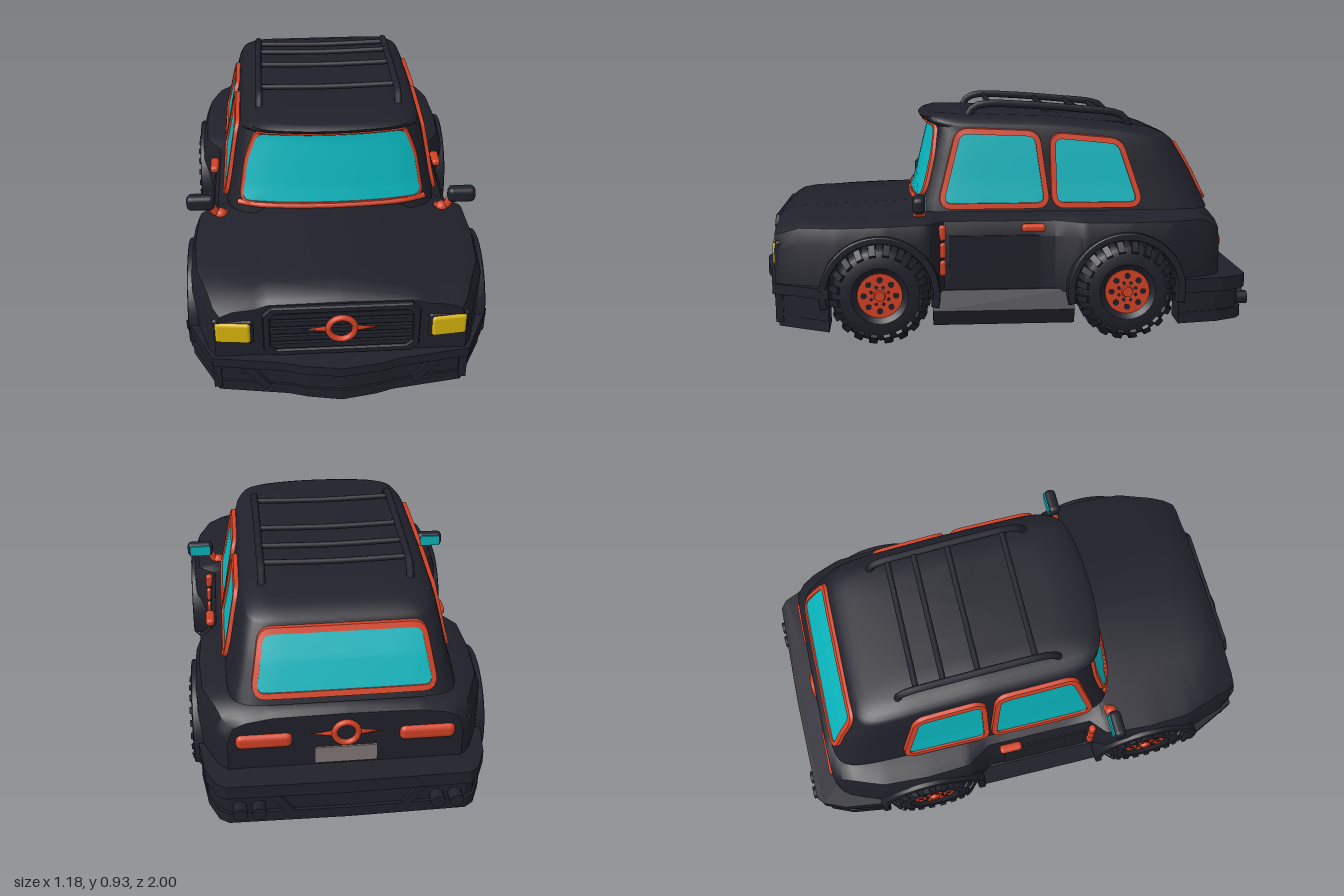
import * as THREE from 'three';
import { toCreasedNormals } from 'three/addons/utils/BufferGeometryUtils.js';
import { RoundedBoxGeometry } from 'three/addons/geometries/RoundedBoxGeometry.js';

const material = (name, color, side = THREE.FrontSide) => {
  const m = new THREE.MeshStandardMaterial({ color, side });
  m.name = name;
  return m;
};

// Piecewise linear lookup; keys are ascending [position, value] pairs
function curve(keys, p) {
  if (p <= keys[0][0]) return keys[0][1];
  for (let i = 1; i < keys.length; i++) {
    const [a, va] = keys[i - 1], [b, vb] = keys[i];
    if (p <= b) return va + (vb - va) * (p - a) / (b - a);
  }
  return keys[keys.length - 1][1];
}

// Closed skin over equal-length rings, capped with fans and oriented outwards
function loft(rings, crease = 0.6) {
  const n = rings[0].length, pts = rings.flat(), idx = [];
  for (let i = 0; i < rings.length - 1; i++) for (let j = 0; j < n; j++) {
    const a = i * n + j, b = i * n + (j + 1) % n;
    idx.push(a, b, b + n, a, b + n, a + n);
  }
  [0, rings.length - 1].forEach((r, end) => {
    const c = new THREE.Vector3();
    rings[r].forEach(p => c.addScaledVector(p, 1 / n));
    pts.push(c);
    for (let j = 0; j < n; j++) {
      const a = r * n + j, b = r * n + (j + 1) % n;
      idx.push(pts.length - 1, ...(end ? [a, b] : [b, a]));
    }
  });
  let volume = 0;
  for (let i = 0; i < idx.length; i += 3)
    volume += pts[idx[i]].dot(new THREE.Vector3().crossVectors(pts[idx[i + 1]], pts[idx[i + 2]]));
  if (volume < 0) idx.reverse();
  const g = new THREE.BufferGeometry().setFromPoints(pts);
  g.setIndex(idx);
  return toCreasedNormals(g, crease);
}

// Polygon with rounded corners, as a contour of points
function rounded(poly, r = 0.03) {
  const out = [], v = poly.map(p => new THREE.Vector2(...p));
  v.forEach((p, i) => {
    const a = v[(i + v.length - 1) % v.length], b = v[(i + 1) % v.length];
    const p0 = p.clone().add(a.clone().sub(p).setLength(r)), p1 = p.clone().add(b.clone().sub(p).setLength(r));
    out.push(...new THREE.QuadraticBezierCurve(p0, p, p1).getPoints(4));
    for (let k = 1; k < 6; k++) out.push(p1.clone().lerp(b.clone().add(p.clone().sub(b).setLength(r)), k / 6));
  });
  return out;
}

function grow(contour, d) {
  const n = contour.length, area = THREE.ShapeUtils.area(contour);
  return contour.map((p, i) => {
    const t = contour[(i + 1) % n].clone().sub(contour[(i + n - 1) % n]).normalize();
    return p.clone().add(new THREE.Vector2(t.y, -t.x).multiplyScalar(d * Math.sign(area)));
  });
}

// Bands between successive contours [points, lift], wrapped onto a surface
function wrap(bands, map) {
  const n = bands[0][0].length, pts = [], idx = [];
  bands.forEach(([contour, lift]) => contour.forEach(p => pts.push(map(p, lift))));
  for (let k = 0; k < bands.length - 1; k++) for (let j = 0; j < n; j++) {
    const a = k * n + j, b = k * n + (j + 1) % n;
    idx.push(a, b, b + n, a, b + n, a + n);
  }
  const g = new THREE.BufferGeometry().setFromPoints(pts);
  g.setIndex(idx);
  return toCreasedNormals(g, 0.6);
}

// Cabin shape: roof height along z, then width and end positions by relative height
const roof = z => curve([[-0.7, 0.8], [-0.5, 0.835], [-0.2, 0.866], [0.25, 0.88]], z);
const cabW = t => curve([[0, 0.434], [0.1, 0.427], [0.3, 0.41], [0.6, 0.389], [0.8, 0.374], [0.9, 0.36], [0.96, 0.333], [1, 0.282]], t);
const cabF = t => curve([[0, 0.375], [0.1, 0.368], [0.3, 0.344], [0.6, 0.316], [0.8, 0.297], [0.87, 0.293], [0.92, 0.328], [0.97, 0.34], [1, 0.31]], t);
const cabR = t => curve([[0, -0.843], [0.5, -0.772], [0.9, -0.702], [0.96, -0.675], [1, -0.61]], t);
const N = 10, BOW = 0.04;
const fall = q => Math.pow(Math.max(0, 1 - Math.pow(Math.abs(q), N)), 1 / N);
const rel = (y, z) => (y - 0.5) / (roof(z) - 0.5);

function onSide(z, y, side, lift) {
  const t = rel(y, z), mid = (cabF(t) + cabR(t)) / 2, d = (cabF(t) - cabR(t)) / 2;
  return new THREE.Vector3(side * (cabW(t) * fall((z - mid) / d) + lift), y, z);
}
function onEnd(x, y, dir, lift) {
  let z = dir > 0 ? 0.3 : -0.75;
  for (let i = 0; i < 4; i++) {
    const t = rel(y, z), mid = (cabF(t) + cabR(t)) / 2, d = (cabF(t) - cabR(t)) / 2, q = x / cabW(t);
    z = mid + dir * d * fall(q) - (dir > 0 ? BOW * q * q * fall(q) ** 3 : 0);
  }
  return new THREE.Vector3(x, y, z + dir * lift);
}

export function createModel() {
  const car = new THREE.Group();
  const paint = material('dark body', 0x20202a);
  const red = material('red trim', 0xd24125, THREE.DoubleSide);
  const glass = material('teal glass', 0x09b4bc, THREE.DoubleSide);
  const yellow = material('yellow lamp', 0xd8b40c);
  const grey = material('grey plate', 0x827875);

  const add = (name, geo, mat, x = 0, y = 0, z = 0, parent = car) => {
    const m = new THREE.Mesh(geo, mat);
    m.name = name;
    m.position.set(x, y, z);
    parent.add(m);
    return m;
  };
  const box = (name, mat, w, h, d, x, y, z) => add(name, new THREE.BoxGeometry(w, h, d), mat, x, y, z);
  const soft = (name, mat, w, h, d, x, y, z) =>
    add(name, new RoundedBoxGeometry(w, h, d, 3, Math.min(w, h, d) * 0.42), mat, x, y, z);
  const tube = (name, pts, r, mat) => add(name, new THREE.TubeGeometry(
    new THREE.CatmullRomCurve3(pts.map(p => new THREE.Vector3(...p))), 24, r, 8), mat);

  // Lower body with wheel arches
  const axles = [0.49, -0.475], archR = 0.21;
  const stations = [0.9, 0.888, 0.86, 0.8, 0.72, 0.27, 0.24, 0.1, 0, -0.1, -0.2, -0.24, -0.72, -0.78, -0.83, -0.855, -0.87];
  axles.forEach(c => { for (let k = 0; k <= 16; k++) stations.push(c + archR * Math.cos(k * Math.PI / 16)); });
  stations.sort((a, b) => a - b);
  const bodyW = [[-0.87, 0.44], [-0.84, 0.475], [-0.75, 0.515], [-0.66, 0.548], [-0.475, 0.56], [-0.3, 0.552], [-0.2, 0.49],
    [0.24, 0.49], [0.3, 0.56], [0.49, 0.572], [0.66, 0.562], [0.75, 0.53], [0.86, 0.495], [0.9, 0.47]];
  const crown = [[-0.87, 0.465], [-0.84, 0.495], [-0.7, 0.51], [0.35, 0.53], [0.8, 0.512], [0.87, 0.5], [0.9, 0.475]];
  const shoulder = [[-0.87, 0.445], [-0.8, 0.49], [0.3, 0.492], [0.8, 0.478], [0.9, 0.445]];
  add('lowerBody', loft(stations.map(z => {
    const w = curve(bodyW, z), top = curve(crown, z), sh = curve(shoulder, z);
    let b = 0.19;
    axles.forEach(c => {
      const q = archR * archR - (z - c) ** 2;
      if (q > 0) b = Math.max(b, 0.2 + Math.sqrt(q));
    });
    const half = [[0.27, top - 0.004], [0.32, sh + 0.008], [w - 0.07, sh], [w - 0.022, sh - 0.022],
      [w, Math.max(sh - 0.08, b + 0.002)], [w, b], [0.38, b], [0.38, 0.14]];
    const ring = [[0, top], ...half, [0, 0.14], ...half.map(([x, y]) => [-x, y]).reverse()];
    return ring.map(([x, y]) => new THREE.Vector3(x, y, z));
  })), paint);

  // Cabin and roof
  const cabinRing = (t, s = 1) => {
    const f = cabF(t), r = cabR(t), ring = [];
    for (let k = 0; k < 96; k++) {
      const e = Math.floor(k / 24), q = (k % 24) / 12 - 1;
      const [a, b] = [[1, q], [-q, 1], [-1, -q], [q, -1]][e];
      const l = Math.pow(a ** N + b ** N, 1 / N);
      const bow = BOW * (a / l) ** 2 * Math.max(0, b / l) ** 3;
      const z = (f + r) / 2 + s * ((f - r) / 2 * b / l - bow);
      ring.push(new THREE.Vector3(s * cabW(t) * a / l, 0.5 + (roof(z) - 0.5) * t + (1 - s) * 0.004, z));
    }
    return ring;
  };
  add('cabin', loft([...[0, 0.1, 0.3, 0.5, 0.6, 0.8, 0.87, 0.9, 0.92, 0.96, 0.98, 1].map(t => cabinRing(t)),
    cabinRing(1, 0.7), cabinRing(1, 0.35), cabinRing(1, 0.05)], 0.7), paint);

  // Windows with raised red surrounds
  const pane = (name, poly, trim, rise, map) => {
    const edge = rounded(poly), centre = new THREE.Vector2(), fill = [];
    edge.forEach(p => centre.addScaledVector(p, 1 / edge.length));
    for (let k = 0; k <= 8; k++) fill.push([edge.map(p => centre.clone().lerp(p, k / 8)), 0.007]);
    add(name + 'Glass', wrap(fill, map), glass);
    add(name + 'Frame', wrap([[edge, 0.004], [edge, rise], [grow(edge, trim), rise], [grow(edge, trim + 0.002), 0]], map), red);
  };
  pane('windshield', [[-0.362, 0.556], [0.362, 0.556], [0.335, 0.72], [0.292, 0.828], [-0.292, 0.828], [-0.335, 0.72]], 0.012, 0.012, (p, l) => onEnd(p.x, p.y, 1, l));
  pane('rearWindow', [[-0.325, 0.545], [0.325, 0.545], [0.29, 0.735], [-0.29, 0.735]], 0.02, 0.012, (p, l) => onEnd(p.x, p.y, -1, l));
  tube('windshieldSill', [-1, -0.75, -0.5, -0.25, 0, 0.25, 0.5, 0.75, 1].map(k => onEnd(k * 0.38, 0.541, 1, 0.004).toArray()), 0.012, red);
  for (const s of [1, -1]) {
    pane('frontSideWindow', [[0.238, 0.535], [0.168, 0.805], [-0.125, 0.793], [-0.16, 0.535]], 0.022, 0.016, (p, l) => onSide(p.x, p.y, s, l));
    pane('rearSideWindow', [[-0.212, 0.535], [-0.208, 0.785], [-0.46, 0.76], [-0.533, 0.535]], 0.022, 0.016, (p, l) => onSide(p.x, p.y, s, l));

    // Door furniture
    soft('doorHandle', red, 0.036, 0.032, 0.094, s * 0.494, 0.445, -0.112);
    [0.43, 0.36, 0.29].forEach(y => soft('sideVent', red, 0.03, 0.062, 0.028, s * 0.497, y, 0.246));
    box('doorPanel', paint, 0.008, 0.21, 0.36, s * 0.49, 0.31, 0.04);

    // Mirrors
    tube('mirrorArm', [[s * 0.43, 0.485, 0.32], [s * 0.47, 0.5, 0.335], [s * 0.495, 0.55, 0.335]], 0.017, red);
    add('mirrorBase', new THREE.SphereGeometry(0.026, 14, 10), red, s * 0.452, 0.49, 0.335);
    soft('mirrorShell', paint, 0.115, 0.066, 0.05, s * 0.531, 0.551, 0.335);
    box('mirrorGlass', glass, 0.09, 0.046, 0.006, s * 0.531, 0.551, 0.309);

    // Side step
    const step = [[0.36, 0.2], [0.5, 0.2], [0.555, 0.13], [0.535, 0.07], [0.36, 0.07]];
    add('sideStep', loft([-0.27, 0.285].map(z => step.map(([x, y]) => new THREE.Vector3(s * x, y, z))), 0.2), paint);

    // Roof rails
    tube('roofRail', [[0.87, 0.135], [0.9, 0.115], [0.915, 0.07], [0.911, -0.1], [0.895, -0.3], [0.878, -0.46], [0.858, -0.505], [0.82, -0.52]]
      .map(([y, z]) => [s * 0.283, y, z]), 0.015, paint);

    // Lamps
    soft('headlampBezel', paint, 0.155, 0.108, 0.03, s * 0.402, 0.35, 0.888).rotation.y = s * 0.1;
    soft('headlamp', yellow, 0.132, 0.09, 0.03, s * 0.402, 0.35, 0.898).rotation.y = s * 0.1;
    soft('tailLamp', red, 0.21, 0.062, 0.054, s * 0.305, 0.362, -0.86);

    // Exhaust tips
    [0.335, 0.405].forEach(x => add('exhaustTip', new THREE.CylinderGeometry(0.027, 0.027, 0.12, 14), paint, s * x, 0.125, -0.94).rotation.x = Math.PI / 2);

    // Wheel arch flares
    axles.forEach(c => {
      const arch = new THREE.Shape().absarc(0, 0, 0.228, -0.2, Math.PI + 0.2);
      arch.absarc(0, 0, 0.21, Math.PI + 0.2, -0.2, true);
      const g = new THREE.ExtrudeGeometry(arch, { depth: 0.1, bevelSize: 0.006, bevelThickness: 0.01, bevelSegments: 2, curveSegments: 24 });
      g.translate(0, 0, -0.05).rotateY(Math.PI / 2);
      add('archFlare', toCreasedNormals(g, 0.6), paint, s * (c > 0 ? 0.522 : 0.512), 0.2, c);
    });
  }
  [0.04, -0.19, -0.33, -0.44].forEach(z => {
    const y = curve([[-0.44, 0.875], [-0.33, 0.89], [0.04, 0.912]], z);
    tube('rackBar', [[-0.283, y, z], [0, y - 0.006, z], [0.283, y, z]], 0.012, paint);
  });

  // Grille
  const outline = (w, h, k) => [[-w, -h + k], [-w + k, -h], [w - k, -h], [w, -h + k], [w, h - k], [w - k, h], [-w + k, h], [-w, h - k]].map(p => new THREE.Vector2(...p));
  const frame = new THREE.Shape(outline(0.288, 0.108, 0.03));
  frame.holes.push(new THREE.Path(outline(0.268, 0.09, 0.025)));
  add('grilleFrame', new THREE.ExtrudeGeometry(frame, { depth: 0.02, bevelSize: 0.004, bevelThickness: 0.006, bevelSegments: 1 }), paint, 0, 0.355, 0.893);
  for (let i = 0; i < 5; i++) box('grilleSlat', paint, 0.54, 0.022, 0.02, 0, 0.285 + i * 0.035, 0.903);

  // Plain ring ornaments front and rear
  for (const [y, z, r] of [[0.365, 0.918, 0.05], [0.383, -0.876, 0.045]]) {
    add('ornamentRing', new THREE.TorusGeometry(r, 0.012, 8, 28), red, 0, y, z);
    for (const s of [1, -1]) {
      const bar = add('ornamentBar', new THREE.ConeGeometry(0.015, 0.1, 4), red, s * (r + 0.044), y, z);
      bar.rotation.z = -s * Math.PI / 2;
      bar.scale.z = 0.5;
    }
  }
  box('numberPlate', grey, 0.235, 0.07, 0.008, 0, 0.284, -0.873);

  // Bumpers: stacked U-shaped slabs from a plan outline, open behind
  const slab = (name, half, y0, y1) => {
    const pts = [...half, ...half.filter(p => p[0] > 0).map(([x, z]) => [-x, z]).reverse()];
    const g = new THREE.ExtrudeGeometry(new THREE.Shape(pts.map(([x, z]) => new THREE.Vector2(x, -z))), { depth: y1 - y0, bevelEnabled: false });
    add(name, g.rotateX(-Math.PI / 2), paint, 0, y0, 0);
  };
  const front = [[0, 0.83], [0.36, 0.83], [0.42, 0.69], [0.592, 0.685], [0.485, 0.91], [0.22, 0.95], [0.15, 0.972], [0, 0.995]];
  const rear = [[0, -0.83], [0.38, -0.83], [0.42, -0.69], [0.555, -0.685], [0.53, -0.86], [0.49, -0.95], [0.455, -0.975], [0, -0.982]];
  const inset = (pts, dx, dz) => pts.map(([x, z], i) => i < 3 ? [x, z]
    : [Math.max(0, x - dx * Math.sign(x)), Math.abs(z) > 0.7 ? z - Math.sign(z) * dz : z]);
  slab('frontBumperTop', front, 0.195, 0.235);
  slab('frontBumperRecess', inset(front, 0.012, 0.03), 0.105, 0.195);
  slab('frontBumperLip', inset(front, 0.02, 0.02), 0.06, 0.105);
  slab('rearBumperTop', rear, 0.185, 0.24);
  slab('rearBumperRecess', inset(rear, 0.01, 0.025), 0.105, 0.185);
  slab('rearBumperLip', inset(rear, 0.008, 0.012), 0.06, 0.105);
  for (const s of [1, -1]) {
    box('frontBumperBrace', paint, 0.03, 0.14, 0.03, s * 0.32, 0.145, 0.908).rotation.z = -s * 0.65;
    box('rearBumperBrace', paint, 0.03, 0.12, 0.03, s * 0.25, 0.145, -0.955).rotation.z = -s * 0.65;
    box('frontBumperCorner', paint, 0.03, 0.13, 0.03, s * 0.468, 0.145, 0.885);
  }

  // Underside rails and axles
  [-0.26, 0, 0.26].forEach(x => box('chassisRail', paint, 0.07, 0.04, 1.4, x, 0.13, 0));
  axles.forEach(z => add('axle', new THREE.CylinderGeometry(0.03, 0.03, 0.9, 12), paint, 0, 0.17, z).rotation.z = Math.PI / 2);

  // Wheels
  const tyre = toCreasedNormals(new THREE.LatheGeometry([[0.05, -0.06], [0.11, -0.086], [0.15, -0.088], [0.174, -0.074], [0.188, -0.045], [0.191, 0],
    [0.188, 0.045], [0.174, 0.074], [0.15, 0.088], [0.11, 0.088], [0.098, 0.078], [0.08, 0.066]].map(p => new THREE.Vector2(...p)), 36), 0.6);
  const lug = new THREE.BoxGeometry(0.02, 0.058, 0.034), sideLug = new THREE.BoxGeometry(0.018, 0.05, 0.026);
  const hub = new THREE.CylinderGeometry(0.088, 0.088, 0.03, 28), back = new THREE.CylinderGeometry(0.1, 0.1, 0.11, 24);
  const hole = new THREE.CylinderGeometry(0.012, 0.012, 0.006, 10);
  for (const s of [1, -1]) axles.forEach(z => {
    const wheel = new THREE.Group();
    wheel.name = 'wheel';
    wheel.position.set(s * 0.489, 0.2, z);
    wheel.rotation.z = -s * Math.PI / 2;
    add('tyre', tyre, paint, 0, 0, 0, wheel);
    add('wheelBack', back, paint, 0, -0.005, 0, wheel);
    add('hub', hub, red, 0, 0.062, 0, wheel);
    add('hubCap', new THREE.CylinderGeometry(0.02, 0.024, 0.016, 14), red, 0, 0.082, 0, wheel);
    for (let i = 0; i < 8; i++) for (const [r, o, k] of [[0.062, 0, 1], [0.036, 0.5, 0.55]]) {
      const a = (i + o) * Math.PI / 4;
      add('hubHole', hole, paint, r * Math.cos(a), 0.076, r * Math.sin(a), wheel).scale.set(k, 1, k);
    }
    for (let i = 0; i < 40; i++) {
      const a = i * Math.PI / 20, e = i % 2 ? 1 : -1;
      add('treadLug', lug, paint, 0.187 * Math.cos(a), e * 0.025, 0.187 * Math.sin(a), wheel).rotation.y = -a;
      add('shoulderLug', sideLug, paint, 0.174 * Math.cos(a), e * 0.07, 0.174 * Math.sin(a), wheel).rotation.set(0, -a, e * 0.75);
    }
    car.add(wheel);
  });
  return car;
}
